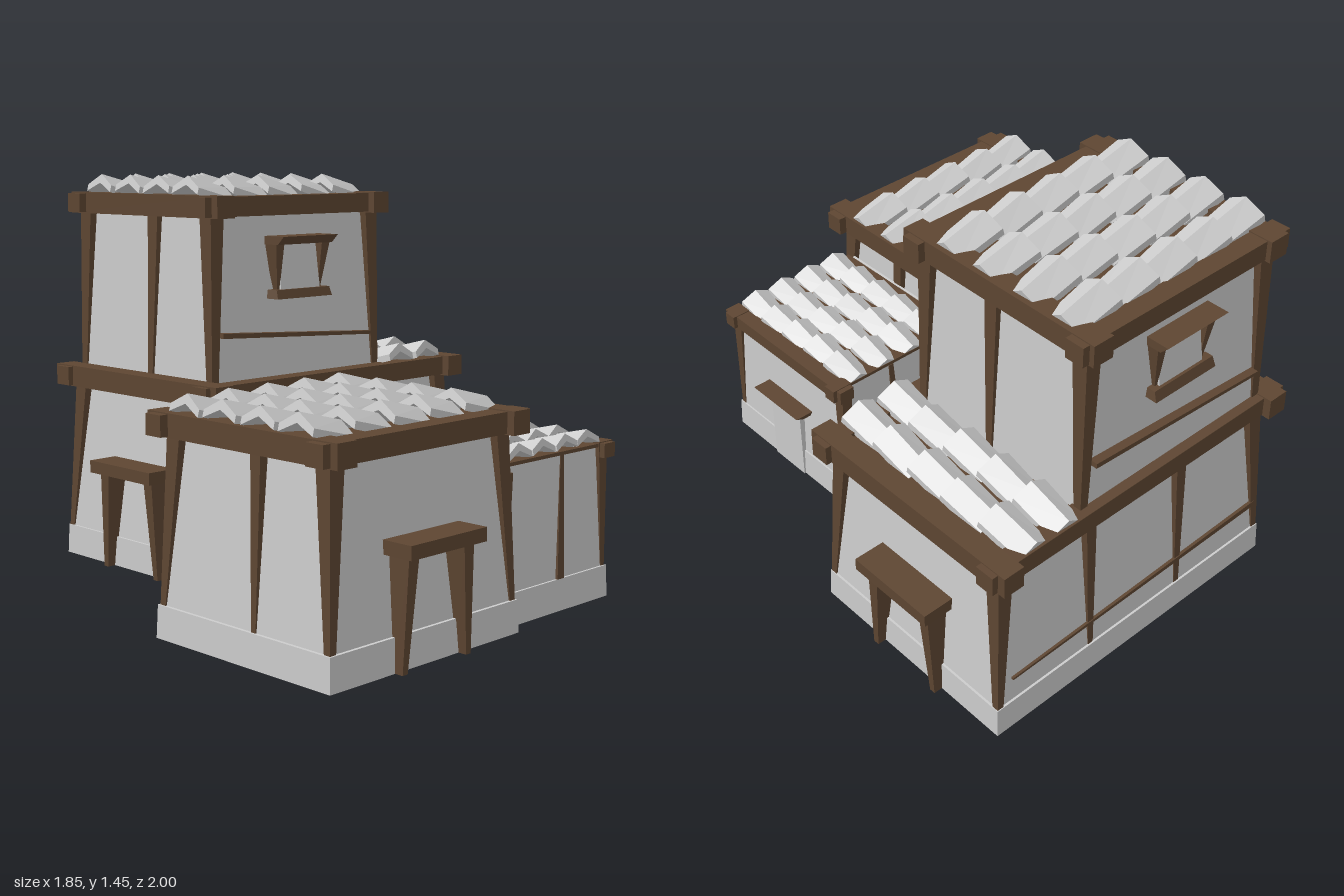
import * as THREE from 'three';

export function createModel() {
  const model = new THREE.Group();
  const stone = new THREE.MeshStandardMaterial({ color: 0xcccccc });
  const wood = new THREE.MeshStandardMaterial({ color: 0x5e4632 });
  stone.name = 'paleStone';
  wood.name = 'darkWood';

  let seed = 7;
  const jitter = (a) => {
    seed = (seed * 16807) % 2147483647;
    return (seed / 2147483647 - 0.5) * 2 * a;
  };

  // Box whose bottom and top rectangles [x0, x1, z0, z1] may differ
  function prism(parent, name, mat, b, y0, t, y1) {
    const g = new THREE.BoxGeometry(1, 1, 1);
    const p = g.attributes.position;
    for (let i = 0; i < p.count; i++) {
      const up = p.getY(i) > 0, r = up ? t : b;
      p.setXYZ(i, p.getX(i) < 0 ? r[0] : r[1], up ? y1 : y0, p.getZ(i) < 0 ? r[2] : r[3]);
    }
    g.computeVertexNormals();
    const m = new THREE.Mesh(g, mat);
    m.name = name;
    parent.add(m);
    return m;
  }
  const block = (parent, name, mat, r, y0, y1) => prism(parent, name, mat, r, y0, r, y1);
  const around = (x, z, w, d = w) => [x - w / 2, x + w / 2, z - d / 2, z + d / 2];
  const inset = (r, s) => [r[0] + s, r[1] - s, r[2] + s, r[3] - s];

  // Post that leans with the wall and thins towards the ground
  const post = (parent, name, x0, z0, w0, y0, x1, z1, w1, y1) =>
    prism(parent, name, wood, around(x0, z0, w0), y0, around(x1, z1, w1), y1);

  // Tapered wall with four corner posts
  function walls(parent, r, y0, y1, lean, w0, w1) {
    const t = inset(r, lean);
    prism(parent, 'walls', stone, r, y0, t, y1);
    for (const i of [0, 1]) for (const j of [2, 3]) {
      const sx = i ? -1 : 1, sz = j === 3 ? -1 : 1;
      post(parent, 'cornerPost', r[i] + sx * (w0 / 2 - 0.005), r[j] + sz * (w0 / 2 - 0.005), w0, y0,
        t[i] + sx * (w1 / 2 - 0.03), t[j] + sz * (w1 / 2 - 0.03), w1, y1);
    }
  }

  // Crossed roof beams: xs and zs are the beam centre lines
  function beams(parent, xs, zs, xr, zr, y0, y1) {
    for (const x of xs) block(parent, 'sideBeam', wood, [x - 0.04, x + 0.04, ...zr], y0 - 0.004, y1 + 0.004);
    for (const z of zs) block(parent, 'crossBeam', wood, [...xr, z - 0.036, z + 0.036], y0, y1);
    block(parent, 'roofDeck', wood, [xs[0], xs[1], zs[0], zs[1]], y0 + 0.01, y1 - 0.015);
  }

  // Bent roof tile running along +z and sloping down after tilting
  function tileGeometry(w, h, len) {
    const s = new THREE.Shape([[-w, 0], [0, h * 0.5], [w, 0], [w, h * 0.38], [0, h], [-w, h * 0.38]]
      .map(([x, y]) => new THREE.Vector2(x, y)));
    const g = new THREE.ExtrudeGeometry(s, { depth: len, bevelEnabled: false });
    const p = g.attributes.position;
    for (let i = 0; i < p.count; i++) if (p.getZ(i) > len / 2) p.setX(i, p.getX(i) * 0.92);
    g.computeVertexNormals();
    return g;
  }

  // Rows of overlapping tiles; along 'x' they fall to +x, along 'z' to -z
  function tiles(parent, along, rows, start, pitch, y, w, h) {
    const group = new THREE.Group();
    group.name = 'roofTiles';
    const g = tileGeometry(w, h, pitch * 1.08);
    for (const row of rows) for (let i = 0; i < 5; i++) {
      const m = new THREE.Mesh(g, stone);
      m.name = 'roofTile';
      m.rotation.order = 'YXZ';
      m.rotation.set(0.25, (along === 'x' ? Math.PI / 2 : Math.PI) + jitter(0.04), jitter(0.04));
      const c = row + jitter(0.005);
      if (along === 'x') m.position.set(start + i * pitch, y, c);
      else m.position.set(c, y, start - i * pitch);
      group.add(m);
    }
    parent.add(group);
  }

  // Frame built facing +z at the origin, then turned to its wall
  function frame(parent, name, x, z, turn) {
    const f = new THREE.Group();
    f.name = name;
    f.position.set(x, 0, z);
    f.rotation.y = turn;
    parent.add(f);
    return f;
  }
  function door(parent, x, z, turn) {
    const f = frame(parent, 'doorFrame', x, z, turn);
    block(f, 'doorLintel', wood, [-0.172, 0.172, -0.05, 0.075], 0.36, 0.405);
    for (const s of [-1, 1])
      prism(f, 'doorPost', wood, around(s * 0.145, 0.01, 0.022, 0.04), 0, around(s * 0.125, -0.01, 0.045, 0.11), 0.36);
  }
  function window_(parent, x, z, turn) {
    const f = frame(parent, 'windowFrame', x, z, turn);
    prism(f, 'windowLintel', wood, [-0.137, 0.137, -0.04, 0.045], 1.205, [-0.137, 0.137, -0.04, 0.075], 1.235);
    prism(f, 'windowSill', wood, [-0.137, 0.137, -0.03, 0.045], 1.01, [-0.13, 0.137, -0.03, 0.03], 1.042);
    for (const s of [-1, 1])
      prism(f, 'windowPost', wood, around(s * 0.103, 0, 0.012, 0.02), 1.04, around(s * 0.115, 0, 0.04, 0.07), 1.21);
    prism(f, 'windowPane', stone, [-0.098, 0.098, -0.03, 0.02], 1.04, [-0.098, 0.098, -0.04, 0], 1.206);
  }
  // Thin sloping board on a front or back wall
  function plank(parent, x0, y0, x1, y1, z, h0, h1) {
    const l = Math.hypot(x1 - x0, y1 - y0);
    const m = prism(parent, 'wallPlank', wood, [0, l, -0.02, 0.02], -h0 / 2, [0, l, -0.02, 0.02], h0 / 2);
    const p = m.geometry.attributes.position;
    for (let i = 0; i < p.count; i++) if (p.getX(i) > 0) p.setY(i, Math.sign(p.getY(i)) * h1 / 2);
    m.geometry.computeVertexNormals();
    m.position.set(x0, y0, z);
    m.rotation.z = Math.atan2(y1 - y0, x1 - x0);
  }

  // Front house
  const house = new THREE.Group();
  house.name = 'frontHouse';
  const hb = [-0.896, -0.033, 0.145, 0.925];
  prism(house, 'plinth', stone, hb, 0, inset(hb, 0.004), 0.11);
  walls(house, inset(hb, 0.015), 0.11, 0.67, 0.045, 0.025, 0.06);
  for (const s of [-1, 1])
    post(house, 'wallPost', -0.465 + s * 0.41, 0.59, 0.02, 0.11, -0.465 + s * 0.38, 0.585, 0.045, 0.67);
  beams(house, [-0.855, -0.07], [0.178, 0.89], [-0.925, 0], [0.115, 0.953], 0.66, 0.73);
  tiles(house, 'x', [0.285, 0.45, 0.612, 0.78], -0.89, 0.166, 0.738, 0.072, 0.066);
  door(house, -0.465, 0.925, 0);
  door(house, -0.465, 0.145, Math.PI);

  // Low side room
  const room = new THREE.Group();
  room.name = 'sideRoom';
  prism(room, 'plinth', stone, [-0.04, 0.53, 0.195, 0.87], 0, [-0.04, 0.526, 0.199, 0.866], 0.11);
  prism(room, 'walls', stone, [-0.04, 0.52, 0.21, 0.858], 0.11, [-0.06, 0.505, 0.22, 0.85], 0.535);
  block(room, 'roofDeck', wood, [-0.04, 0.5, 0.215, 0.862], 0.533, 0.545);
  for (const s of [-1, 1]) {
    const z0 = 0.534 + s * 0.316, z1 = 0.534 + s * 0.308;
    post(room, 'cornerPost', -0.025, z0, 0.02, 0.11, -0.015, z1, 0.04, 0.51);
    post(room, 'wallPost', 0.265, z0, 0.035, 0.11, 0.28, z1, 0.02, 0.53);
    post(room, 'cornerPost', 0.512, z0, 0.02, 0.11, 0.495, z1, 0.045, 0.51);
  }
  block(room, 'eaveBeam', wood, [0.475, 0.535, 0.19, 0.885], 0.497, 0.547);
  for (const z of [0.235, 0.84]) block(room, 'beamEnd', wood, around(0.51, z, 0.08, 0.05), 0.5, 0.55);
  tiles(room, 'z', [0.048, 0.175, 0.3, 0.422], 0.86, 0.126, 0.55, 0.058, 0.052);
  block(room, 'doorPanel', stone, [0.46, 0.536, 0.455, 0.63], 0, 0.3);
  prism(room, 'doorLintel', wood, [0.48, 0.545, 0.415, 0.675], 0.3, [0.48, 0.585, 0.405, 0.668], 0.323);

  // Tower: wide ground floor
  const tower = new THREE.Group();
  tower.name = 'tower';
  const tb = [-0.43, 0.848, -0.966, -0.105];
  prism(tower, 'plinth', stone, tb, 0, inset(tb, 0.004), 0.11);
  walls(tower, inset(tb, 0.012), 0.11, 0.67, 0.05, 0.025, 0.06);
  for (const s of [-1, 1]) {
    for (const x of [0, 0.42])
      post(tower, 'wallPost', x, -0.535 + s * 0.41, 0.022, 0.11, x, -0.535 + s * 0.377, 0.045, 0.67);
    plank(tower, -0.4, 0.22, 0.77, 0.2, -0.535 + s * 0.4, 0.022, 0.008);
  }
  beams(tower, [-0.4, 0.815], [-0.935, -0.145], [-0.46, 0.877], [-1, -0.078], 0.66, 0.73);
  tiles(tower, 'z', [0.548, 0.7], -0.115, 0.166, 0.738, 0.066, 0.066);
  door(tower, 0.85, -0.54, Math.PI / 2);
  door(tower, -0.432, -0.54, -Math.PI / 2);

  // Tower: upper floor
  walls(tower, [-0.36, 0.475, -0.935, -0.19], 0.71, 1.32, 0.03, 0.03, 0.06);
  for (const s of [-1, 1])
    post(tower, 'wallPost', 0.057 + s * 0.412, -0.525, 0.025, 0.72, 0.057 + s * 0.382, -0.517, 0.055, 1.32);
  beams(tower, [-0.335, 0.447], [-0.918, -0.203], [-0.405, 0.513], [-0.972, -0.138], 1.31, 1.38);
  tiles(tower, 'x', [-0.815, -0.648, -0.48, -0.317], -0.37, 0.164, 1.388, 0.072, 0.066);
  window_(tower, 0.053, -0.19, 0);
  window_(tower, 0.053, -0.92, Math.PI);
  plank(tower, -0.325, 0.895, 0.435, 0.85, -0.188, 0.018, 0.012);
  plank(tower, -0.325, 0.85, 0.435, 0.895, -0.937, 0.012, 0.018);

  model.add(house, room, tower);
  return model;
}
